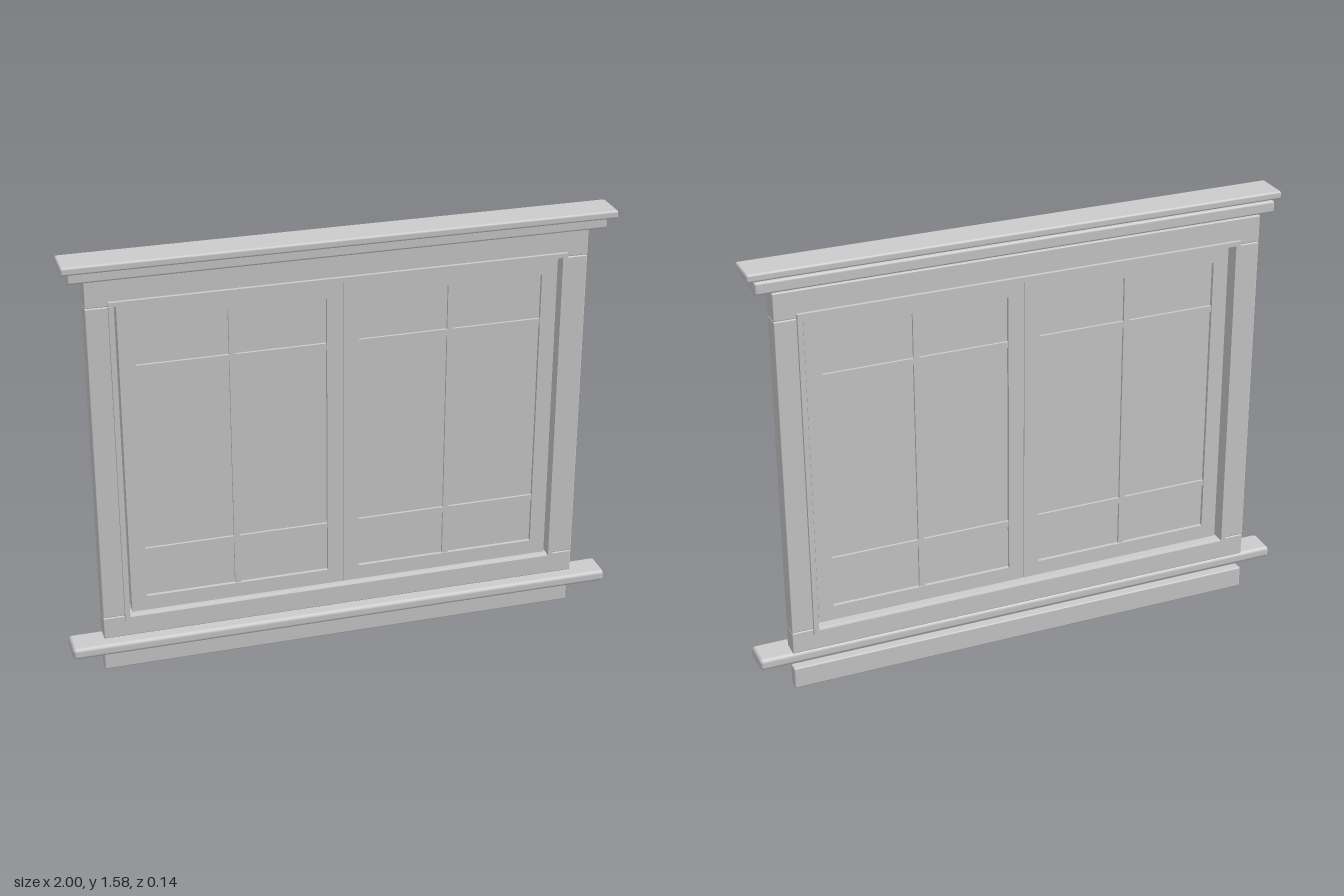
import * as THREE from 'three';
import { RoundedBoxGeometry } from 'three/addons/geometries/RoundedBoxGeometry.js';

export function createModel() {
  const model = new THREE.Group();
  model.name = 'window';
  const paint = new THREE.MeshStandardMaterial({ color: 0xcccccc });
  paint.name = 'greyPaint';

  // Box from its limits on each axis; a radius rounds its edges
  function block(parent, name, [x0, x1], [y0, y1], [z0, z1], radius = 0) {
    const size = [x1 - x0, y1 - y0, z1 - z0];
    const geometry = radius
      ? new RoundedBoxGeometry(...size, 3, radius)
      : new THREE.BoxGeometry(...size);
    const mesh = new THREE.Mesh(geometry, paint);
    mesh.name = name;
    mesh.position.set((x0 + x1) / 2, (y0 + y1) / 2, (z0 + z1) / 2);
    parent.add(mesh);
  }

  // Head mouldings, sill and apron
  const back = -0.057;
  block(model, 'headCap', [-0.96, 0.96], [1.548, 1.577], [back, 0.07], 0.008);
  block(model, 'headMoulding', [-0.935, 0.935], [1.502, 1.545], [back, 0.033], 0.008);
  block(model, 'sill', [-1, 1], [0.1, 0.143], [back, 0.053], 0.014);
  block(model, 'apron', [-0.88, 0.88], [0, 0.08], [back, -0.019], 0.005);

  // Flat casing boards
  const casingZ = [back, 0.007];
  block(model, 'headCasing', [-0.88, 0.88], [1.402, 1.5], casingZ, 0.004);
  block(model, 'bottomCasing', [-0.88, 0.88], [0.143, 0.225], casingZ, 0.004);
  block(model, 'leftCasing', [0.79, 0.88], [0.226, 1.401], casingZ, 0.004);
  block(model, 'rightCasing', [-0.88, -0.79], [0.226, 1.401], casingZ, 0.004);

  // Thin jamb lining around the opening
  const rectangle = (Type, x, y0, y1) => new Type([
    new THREE.Vector2(-x, y0), new THREE.Vector2(x, y0),
    new THREE.Vector2(x, y1), new THREE.Vector2(-x, y1),
  ]);
  const outline = rectangle(THREE.Shape, 0.803, 0.205, 1.42);
  outline.holes.push(rectangle(THREE.Path, 0.785, 0.224, 1.404));
  const jamb = new THREE.Mesh(
    new THREE.ExtrudeGeometry(outline, { depth: 0.088, bevelEnabled: false }), paint);
  jamb.name = 'jambLining';
  jamb.position.z = -0.069;
  model.add(jamb);

  // Two matching sashes, each with rails, stiles, glazing bars and a pane
  const sashZ = [-0.034, -0.002];
  const barZ = [-0.03, -0.006];
  for (const side of [-1, 1]) {
    const sash = new THREE.Group();
    sash.name = side > 0 ? 'leftSash' : 'rightSash';
    const span = (a, b) => (side > 0 ? [a, b] : [-b, -a]);
    block(sash, 'topRail', span(0.001, 0.774), [1.34, 1.396], sashZ);
    block(sash, 'bottomRail', span(0.001, 0.774), [0.232, 0.287], sashZ);
    block(sash, 'meetingStile', span(0.001, 0.057), [0.287, 1.34], sashZ);
    block(sash, 'outerStile', span(0.718, 0.774), [0.287, 1.34], sashZ);
    block(sash, 'verticalBar', span(0.377, 0.398), [0.287, 1.34], barZ);
    for (const y of [0.465, 1.164]) {
      block(sash, 'crossBar', span(0.057, 0.718), [y - 0.011, y + 0.011], barZ);
    }
    block(sash, 'pane', span(0.057, 0.718), [0.287, 1.34], [-0.021, -0.015]);
    model.add(sash);
  }
  return model;
}
